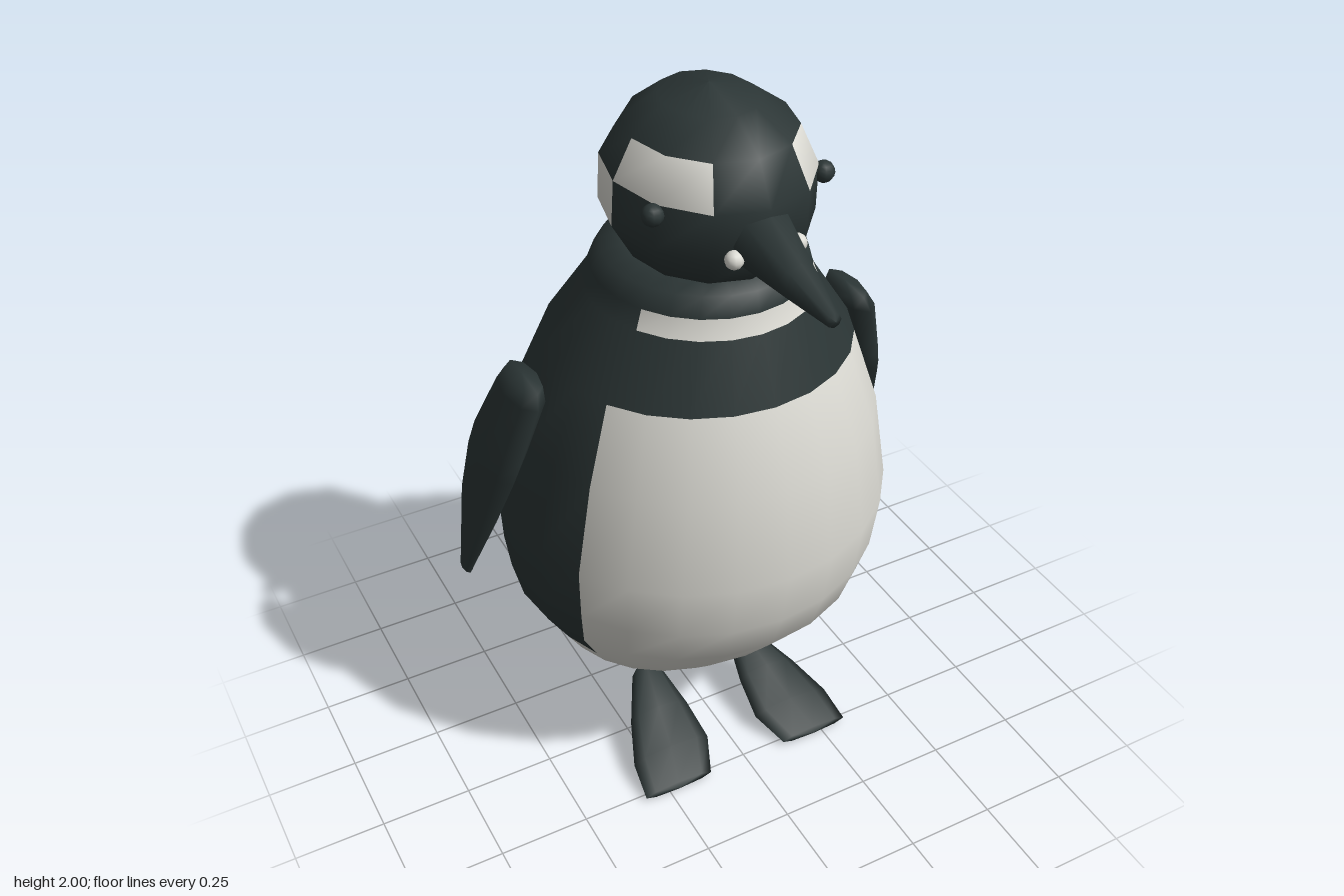
import * as THREE from 'three';

const charcoal = new THREE.MeshStandardMaterial({ color: 0x2b3535 });
charcoal.name = 'charcoal';
const white = new THREE.MeshStandardMaterial({ color: 0xdcdbd4 });
white.name = 'white';

// Skin closed rings of points; isWhite(ring, sector) picks the face colour
function loft(name, rings, isWhite = () => false) {
  const n = rings[0].length;
  const faces = [[], []];
  for (let i = 0; i < rings.length - 1; i++) {
    for (let j = 0; j < n; j++) {
      const k = (j + 1) % n;
      const a = i * n + j, b = i * n + k, c = b + n, d = a + n;
      faces[isWhite(i, j) ? 1 : 0].push(a, d, b, b, d, c);
    }
  }
  const g = new THREE.BufferGeometry();
  g.setAttribute('position', new THREE.Float32BufferAttribute(rings.flat(2), 3));
  g.setIndex([...faces[0], ...faces[1]]);
  g.addGroup(0, faces[0].length, 0);
  if (faces[1].length) g.addGroup(faces[0].length, faces[1].length, 1);
  g.computeVertexNormals();
  const mesh = new THREE.Mesh(g, [charcoal, white]);
  mesh.name = name;
  return mesh;
}

// Ring in the ground plane (rings listed upwards)
function flatRing(n, cx, y, cz, rx, rz) {
  return Array.from({ length: n }, (_, j) => {
    const a = (j / n) * Math.PI * 2;
    return [cx + rx * Math.cos(a), y, cz + rz * Math.sin(a)];
  });
}

// Upright ring facing the front (rings listed towards +z)
function uprightRing(n, cx, cy, z, rx, ry) {
  return Array.from({ length: n }, (_, j) => {
    const a = (j / n) * Math.PI * 2;
    return [cx + rx * Math.cos(a), cy - ry * Math.sin(a), z];
  });
}

// Rows of [height, half width, front z, back z]
const stack = (n, rows) => rows.map(([y, w, f, b]) => flatRing(n, 0, y, (f + b) / 2, w, (f - b) / 2));

export function createModel() {
  const model = new THREE.Group();
  model.name = 'penguin';

  // Body with white belly and collar stripe
  const body = stack(24, [
    [0.08, 0, -0.23, -0.23],
    [0.19, 0.2, -0.02, -0.37],
    [0.24, 0.28, 0.065, -0.45],
    [0.29, 0.35, 0.14, -0.5],
    [0.4, 0.41, 0.25, -0.56],
    [0.56, 0.495, 0.385, -0.595],
    [0.68, 0.515, 0.43, -0.598],
    [0.84, 0.525, 0.457, -0.598],
    [1.1, 0.475, 0.435, -0.54],
    [1.31, 0.4, 0.365, -0.43],
    [1.475, 0.29, 0.295, -0.32],
    [1.525, 0.27, 0.28, -0.3],
    [1.58, 0.25, 0.27, -0.26],
    [1.595, 0.19, 0.2, -0.2],
    [1.595, 0, 0.02, 0.02],
  ]);
  model.add(loft('body', body, (i, j) => {
    if (i < 4) return j >= 1 && j <= 10;
    return (i < 9 || i === 10) && j >= 2 && j <= 9;
  }));

  // Head with white brow and cheek patches
  const head = stack(12, [
    [1.59, 0, 0.02, 0.02],
    [1.595, 0.195, 0.24, -0.205],
    [1.69, 0.248, 0.31, -0.275],
    [1.81, 0.245, 0.32, -0.265],
    [1.91, 0.2, 0.265, -0.19],
    [1.97, 0.115, 0.165, -0.11],
    [2.0, 0, 0.03, 0.03],
  ]);
  model.add(loft('head', head, (i, j) =>
    ((i === 1 || i === 2) && (j === 11 || j === 6)) ||
    (i === 3 && [0, 1, 4, 5].includes(j))));

  // Beak
  model.add(loft('beak', [
    [1.725, 0.26, 0.078], [1.725, 0.3, 0.077], [1.698, 0.45, 0.046],
    [1.677, 0.59, 0.018], [1.677, 0.597, 0],
  ].map(([y, z, r]) => uprightRing(8, 0, y, z, r, r))));

  // Tail
  model.add(loft('tail', [
    [0.11, -0.5, 0, 0], [0.112, -0.495, 0.035, 0.015], [0.165, -0.42, 0.055, 0.025],
    [0.23, -0.32, 0.06, 0.03],
  ].map(([y, z, rx, ry]) => uprightRing(8, 0, y, z, rx, ry))));

  for (const s of [1, -1]) {
    const side = s > 0 ? 'left' : 'right';

    // Eye and white beak corner
    for (const [part, mat, r, x, y, z] of [
      ['Eye', charcoal, 0.027, 0.222, 1.79, 0.18],
      ['BeakCorner', white, 0.023, 0.082, 1.7, 0.302],
    ]) {
      const dot = new THREE.Mesh(new THREE.SphereGeometry(r, 10, 8), mat);
      dot.name = side + part;
      dot.position.set(s * x, y, z);
      model.add(dot);
    }

    // Flipper: [x, y, front z, back z, half thickness]
    model.add(loft(side + 'Flipper', [
      [0.62, 0.635, -0.195, -0.195, 0],
      [0.62, 0.64, -0.165, -0.225, 0.012],
      [0.573, 0.88, -0.05, -0.268, 0.03],
      [0.54, 1.03, 0.01, -0.255, 0.042],
      [0.52, 1.1, 0.025, -0.24, 0.046],
      [0.475, 1.26, 0.052, -0.165, 0.046],
      [0.465, 1.295, 0.03, -0.14, 0.035],
      [0.465, 1.3, -0.06, -0.06, 0],
    ].map(([x, y, f, b, t]) => flatRing(8, s * x, y, (f + b) / 2, t, (f - b) / 2))));

    // Foot: [inner x, outer x, y, z, half thickness]
    model.add(loft(side + 'Foot', [
      [0.16, 0.16, 0.15, -0.055, 0],
      [0.115, 0.205, 0.152, -0.05, 0.034],
      [0.09, 0.27, 0.1, 0.07, 0.027],
      [0.08, 0.315, 0.055, 0.18, 0.02],
      [0.12, 0.325, 0.018, 0.275, 0.014],
      [0.22, 0.22, 0.016, 0.283, 0],
    ].map(([a, b, y, z, t]) => uprightRing(8, s * (a + b) / 2, y, z, (b - a) / 2, t))));
  }
  return model;
}
